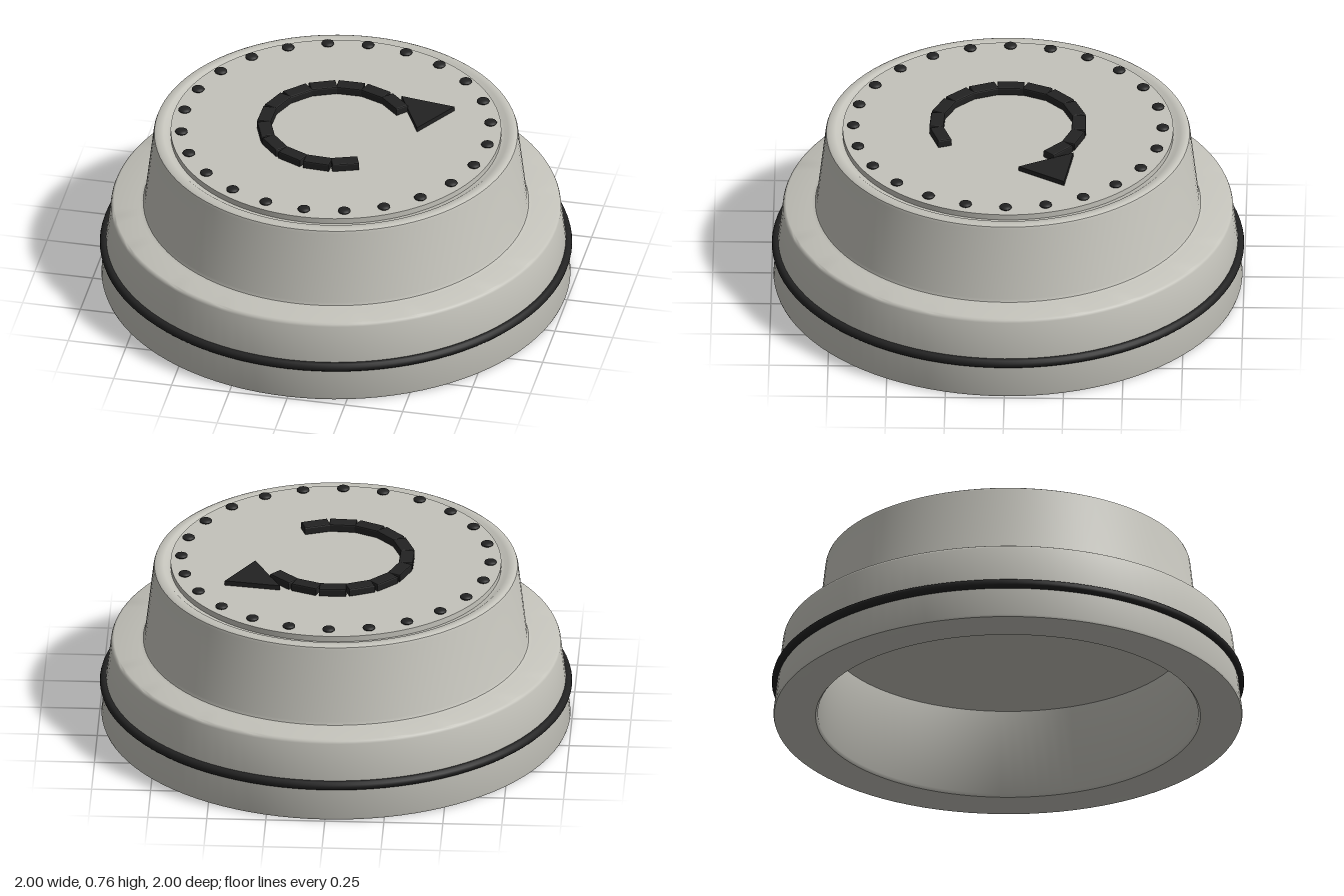
import * as THREE from 'three';
import { toCreasedNormals } from 'three/addons/utils/BufferGeometryUtils.js';

export function createModel() {
  const model = new THREE.Group();
  model.name = 'cap';
  const shell = new THREE.MeshStandardMaterial({ name: 'warm grey', color: 0xc4c3bb });
  const dark = new THREE.MeshStandardMaterial({ name: 'near black', color: 0x222222 });

  function add(name, geometry, material, parent = model) {
    const mesh = new THREE.Mesh(geometry, material);
    mesh.name = name;
    parent.add(mesh);
    return mesh;
  }

  // Hollow stepped body: cavity ceiling, bore, foot, outer wall, shoulder, crown, groove
  const profile = [
    [0, 0.38], [0.77, 0.38], [0.805, 0.012], [0.815, 0],
    [0.982, 0], [0.99, 0.003], [0.993, 0.012],
    [0.953, 0.342], [0.949, 0.352], [0.94, 0.357],
    [0.83, 0.357], [0.816, 0.362], [0.81, 0.375],
    [0.773, 0.695], [0.769, 0.706], [0.758, 0.712],
    [0.73, 0.712], [0.715, 0.7], [0.69, 0.7], [0, 0.7],
  ].map(([r, y]) => new THREE.Vector2(r, y));
  add('body', toCreasedNormals(new THREE.LatheGeometry(profile, 96), 0.7), shell);

  // Raised disc on the crown
  const disc = add('topDisc', new THREE.CylinderGeometry(0.7, 0.7, 0.03, 96), shell);
  disc.position.y = 0.71;

  // Sealing ring round the skirt
  const ring = add('sealRing', new THREE.TorusGeometry(0.98, 0.02, 12, 96), dark);
  ring.rotation.x = Math.PI / 2;
  ring.position.y = 0.16;

  // Ring of small domed studs
  const studs = new THREE.Group();
  studs.name = 'studs';
  model.add(studs);
  const studGeometry = new THREE.SphereGeometry(0.027, 16, 10).scale(1, 0.4, 1);
  for (let i = 0; i < 24; i++) {
    const a = (i / 24) * Math.PI * 2;
    add('stud', studGeometry, dark, studs)
      .position.set(Math.sin(a) * 0.655, 0.737, Math.cos(a) * 0.655);
  }

  // Turning arrow: arc of short bevelled bars
  const arrow = new THREE.Group();
  arrow.name = 'turnArrow';
  model.add(arrow);
  const bevel = 0.006;
  const w = 0.0575 - bevel, h = 0.03 - bevel;
  const barShape = new THREE.Shape([
    new THREE.Vector2(-w, -h), new THREE.Vector2(w, -h),
    new THREE.Vector2(w, h), new THREE.Vector2(-w, h),
  ]);
  const barGeometry = new THREE.ExtrudeGeometry(barShape, {
    depth: 0.024, bevelEnabled: true, bevelSize: bevel, bevelThickness: bevel, bevelSegments: 2,
  }).rotateX(-Math.PI / 2);
  for (let i = 0; i < 12; i++) {
    const a = THREE.MathUtils.degToRad(44 - i * 22.1); // clockwise from the back
    const bar = add('arcBar', barGeometry, dark, arrow);
    bar.position.set(Math.sin(a) * 0.3, 0.73, -Math.cos(a) * 0.3);
    bar.rotation.y = -a;
  }

  // Arrowhead plate, drawn in x and -z
  const headShape = new THREE.Shape([
    new THREE.Vector2(0.225, 0.28), new THREE.Vector2(0.34, 0.05), new THREE.Vector2(0.46, 0.245),
  ]);
  const head = new THREE.ExtrudeGeometry(headShape, { depth: 0.024, bevelEnabled: false });
  add('arrowHead', head.rotateX(-Math.PI / 2), dark, arrow).position.y = 0.722;

  return model;
}
